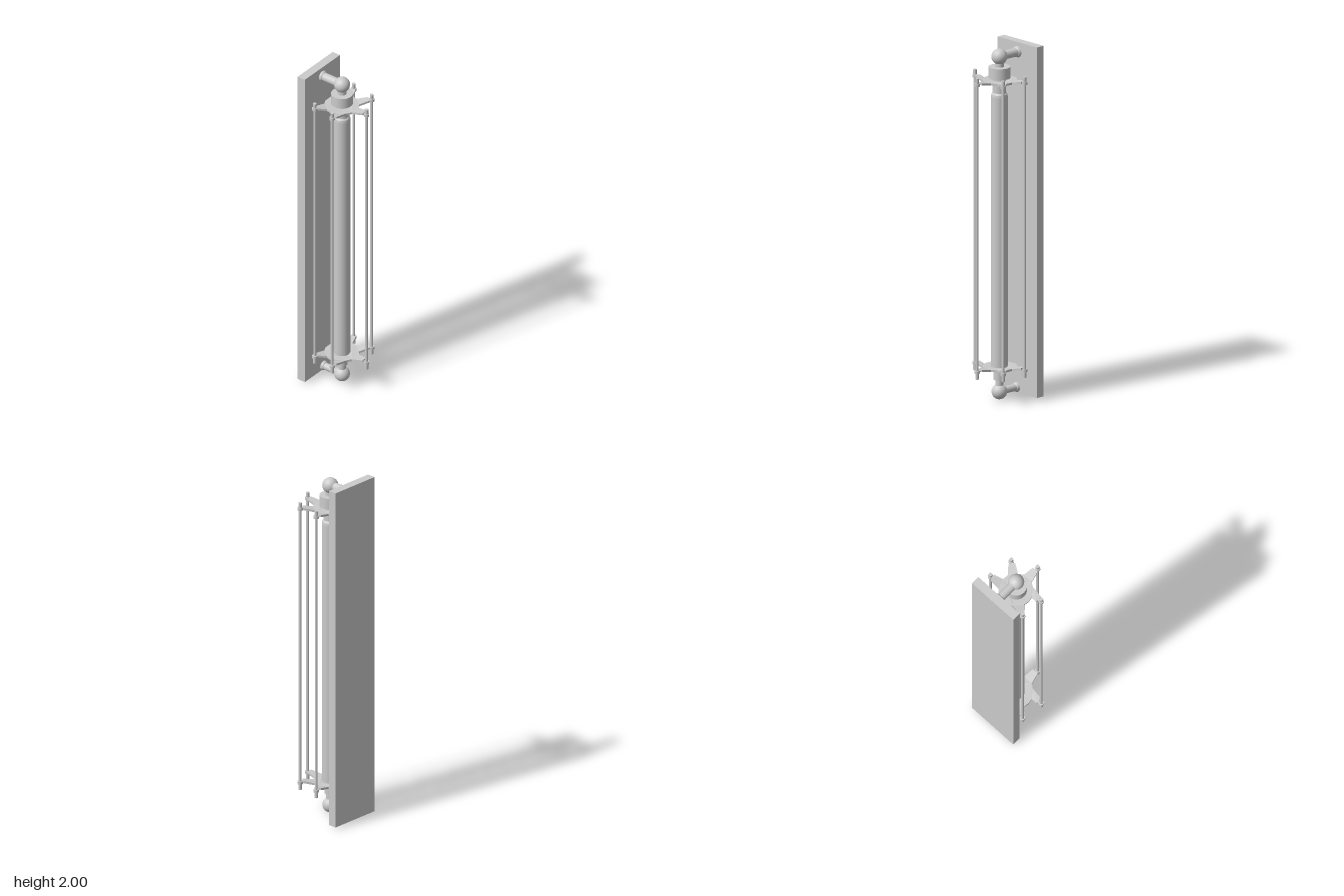
import * as THREE from 'three';

const AXIS_X = -0.006;

export function createModel() {
  const group = new THREE.Group();
  const material = new THREE.MeshStandardMaterial({ color: 0xcccccc });
  const add = (name, geometry, x = 0, y = 0, z = 0) => {
    const mesh = new THREE.Mesh(geometry, material);
    mesh.name = name;
    mesh.position.set(x, y, z);
    group.add(mesh);
    return mesh;
  };
  // Turned part from [radius, height] pairs; doubled corners stay crisp
  const turned = (pairs, segments = 32) => {
    const points = [];
    pairs.forEach(([r, h], i) => {
      points.push(new THREE.Vector2(r, h));
      if (i > 0 && i < pairs.length - 1) points.push(new THREE.Vector2(r, h));
    });
    return new THREE.LatheGeometry(points, segments);
  };

  // Wall plate
  add('backPlate', new THREE.BoxGeometry(0.31, 1.99, 0.05), -0.006, 1.005, -0.162);

  // Ball joints with flared arms reaching back to the plate
  const joint = (side, y, radius, armRadius, end) => {
    add(side + 'Ball', new THREE.SphereGeometry(radius, 32, 20), AXIS_X, y, 0);
    const arm = turned([
      [0, 0], [armRadius, 0], [armRadius, end - 0.016],
      [armRadius + 0.004, end - 0.012], [armRadius + 0.008, end], [0, end],
    ]);
    add(side + 'Arm', arm, AXIS_X, y, 0).rotation.x = -Math.PI / 2;
  };
  joint('upper', 1.945, 0.044, 0.024, 0.138);
  joint('lower', 0.043, 0.043, 0.02, 0.13);

  // Cap and neck above the lamp, socket and neck below it
  add('upperCap', turned([[0, 1.8], [0.038, 1.8], [0.038, 1.825], [0.06, 1.825],
    [0.06, 1.888], [0.025, 1.888], [0.025, 1.925], [0, 1.925]]), AXIS_X);
  add('lowerSocket', turned([[0, 0.07], [0.022, 0.07], [0.022, 0.11], [0.031, 0.11],
    [0.031, 0.165], [0.045, 0.165], [0.045, 0.2], [0, 0.2]]), AXIS_X);

  // Long tubular lamp with a rounded shoulder
  add('lampTube', turned([[0, 0.19], [0.046, 0.19], [0.046, 1.72],
    [0.044, 1.733], [0.037, 1.742], [0.037, 1.81], [0, 1.81]]), AXIS_X);

  // Star brackets: five tapered arms around a hub, the arms rising outwards
  const outline = [
    [-0.021, 0.154], [0.015, 0.154], [0.024, 0.093], [0.051, 0.075], [0.103, 0.107],
    [0.115, 0.095], [0.126, 0.077], [0.086, 0.03], [0.09, -0.004], [0.141, -0.021],
    [0.137, -0.04], [0.129, -0.059], [0.071, -0.059], [0.051, -0.08], [0.024, -0.094],
    [-0.032, -0.094], [-0.06, -0.08], [-0.114, -0.091], [-0.123, -0.08], [-0.132, -0.068],
    [-0.096, -0.034], [-0.102, -0.002], [-0.096, 0.028], [-0.134, 0.025],
    [-0.135, 0.062], [-0.06, 0.075], [-0.035, 0.092],
  ].map(([x, z]) => new THREE.Vector2(x - AXIS_X, z));
  const star = () => {
    const shape = new THREE.Shape(outline);
    shape.holes.push(new THREE.Path().absarc(0, 0, 0.036, 0, Math.PI * 2, true));
    const geometry = new THREE.ExtrudeGeometry(shape, {
      depth: 0.012, bevelEnabled: false, curveSegments: 16,
    }).rotateX(Math.PI / 2);
    const p = geometry.attributes.position;
    for (let i = 0; i < p.count; i++) {
      const r = Math.hypot(p.getX(i), p.getZ(i));
      p.setY(i, p.getY(i) + 0.014 * THREE.MathUtils.smoothstep(r, 0.07, 0.155));
    }
    geometry.computeVertexNormals();
    return geometry;
  };
  add('upperStar', star(), AXIS_X, 1.812, 0);
  add('lowerStar', star(), AXIS_X, 0.186, 0);

  // Cage rods with collars and end studs
  const rodProfile = [
    [0, 0.145], [0.01, 0.145], [0.01, 0.178], [0.015, 0.178], [0.015, 0.194],
    [0.008, 0.194], [0.008, 1.808], [0.015, 1.808], [0.015, 1.824],
    [0.01, 1.824], [0.01, 1.852], [0, 1.852],
  ];
  const rod = turned(rodProfile, 20);
  [[-0.006, 0.17], [0.127, 0.101], [0.149, -0.041], [-0.136, -0.087], [-0.151, 0.045]]
    .forEach(([x, z], i) => {
      add('cageRod' + (i + 1), rod, x, 0, z);
      // Short tongue joining the star arm to the rod
      const angle = Math.atan2(z, x - AXIS_X);
      for (const y of [1.818, 0.188]) {
        add('rodTongue', new THREE.BoxGeometry(0.03, 0.01, 0.012),
          x - Math.cos(angle) * 0.015, y, z - Math.sin(angle) * 0.015).rotation.y = -angle;
      }
    });

  return group;
}
